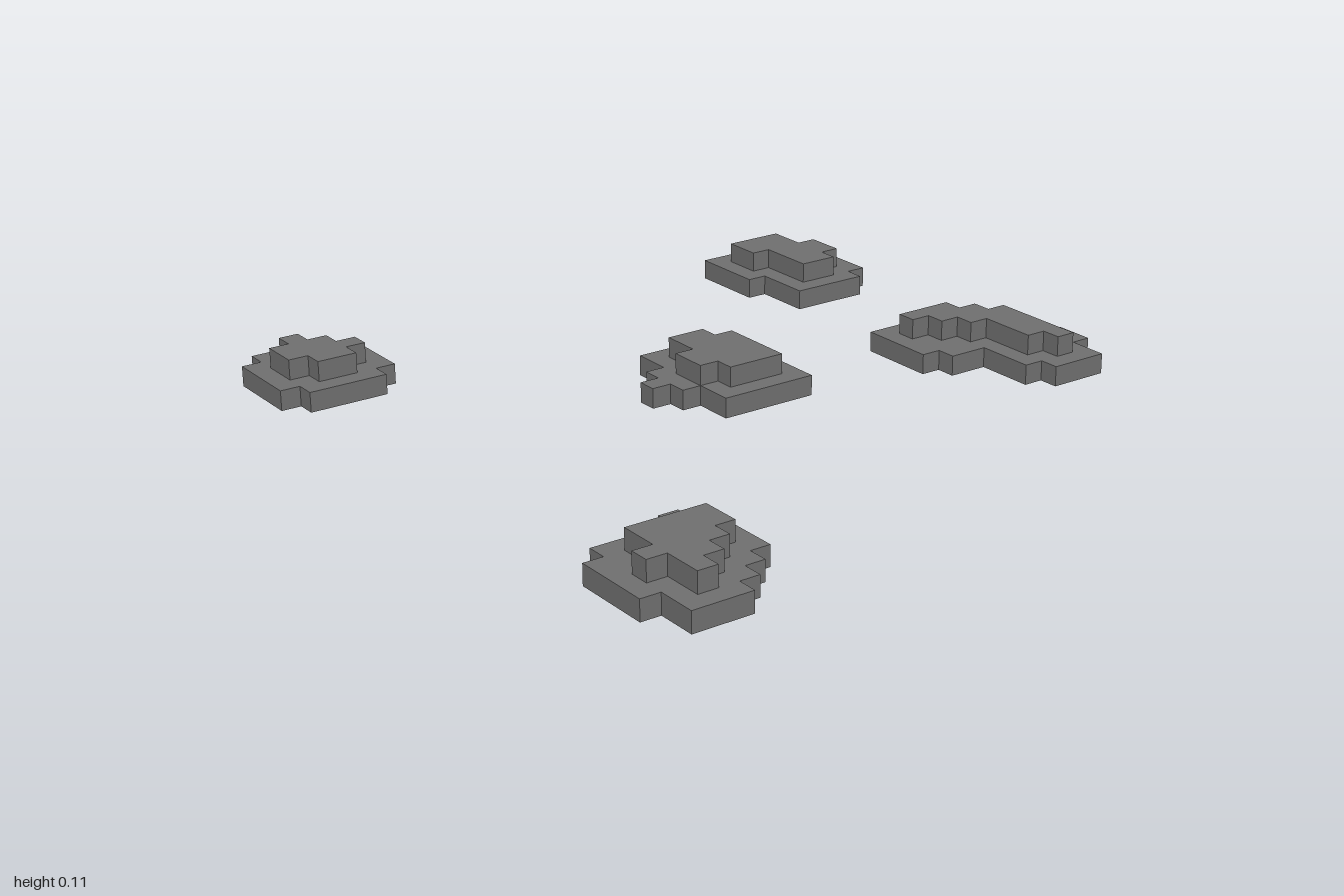
import * as THREE from 'three';

const CELL = 2 / 35; // the whole field is a 35 x 35 grid of cells

// Each layer: first grid row (from the back), then [left, right] cell edges per row
const rocks = [
  { name: 'backLeftRock',
    base: [0, [[1, 4], [0, 5], [0, 6], [0, 6], [0, 6], [1, 5]]],
    cap: [1, [[2, 3], [1, 4], [1, 5], [2, 4]]] },
  { name: 'backRightRock',
    base: [1, [[27, 32], [27, 32], [27, 33], [27, 33], [28, 33], [28, 33], [28, 32]]],
    cap: [2, [[28, 31], [28, 31], [29, 32], [29, 32], [29, 31]]] },
  { name: 'centreRock',
    base: [11, [[16, 20], [16, 21], [15, 21], [14, 21], [15, 21], [16, 21], [16, 21]]],
    cap: [12, [[17, 19], [17, 20], [16, 20], [16, 20], [17, 20]]] },
  { name: 'rightRock',
    base: [15, [[27, 32], [27, 33], [27, 34], [27, 34], [28, 34], [30, 35], [30, 35], [30, 34], [31, 34]]],
    cap: [16, [[28, 31], [29, 32], [30, 33], [31, 33], [31, 33], [31, 33], [32, 33]]] },
  { name: 'frontLeftRock',
    base: [27, [[6, 7], [2, 8], [1, 8], [1, 8], [1, 8], [1, 7], [2, 6], [2, 5]]],
    cap: [29, [[3, 7], [3, 7], [2, 6], [3, 5], [3, 4]]] },
];

// Stepped slab, one cell thick, traced around the row spans
function slab([firstRow, spans], level) {
  const right = [], left = [];
  const addStep = (side, x, row, prevX, nextX) => {
    if (x !== prevX) side.push([x, row]);
    if (x !== nextX) side.push([x, row + 1]);
  };
  spans.forEach(([l, r], i) => {
    const row = firstRow + i, prev = spans[i - 1] || [], next = spans[i + 1] || [];
    addStep(left, l, row, prev[0], next[0]);
    addStep(right, r, row, prev[1], next[1]);
  });
  const outline = [...left, ...right.reverse()]
    .map(([x, z]) => new THREE.Vector2(x * CELL - 1, 1 - z * CELL));
  const geometry = new THREE.ExtrudeGeometry(new THREE.Shape(outline), { depth: CELL, bevelEnabled: false });
  return geometry.rotateX(-Math.PI / 2).translate(0, level * CELL, 0);
}

export function createModel() {
  const model = new THREE.Group();
  model.name = 'rockField';
  const stone = new THREE.MeshStandardMaterial({ color: 0x6e6e6e });
  stone.name = 'stone grey';

  // Every rock is a wide base slab with a smaller cap on it
  for (const { name, base, cap } of rocks) {
    const rock = new THREE.Group();
    rock.name = name;
    [['base', base], ['cap', cap]].forEach(([part, layer], level) => {
      const mesh = new THREE.Mesh(slab(layer, level), stone);
      mesh.name = part;
      rock.add(mesh);
    });
    model.add(rock);
  }
  return model;
}
